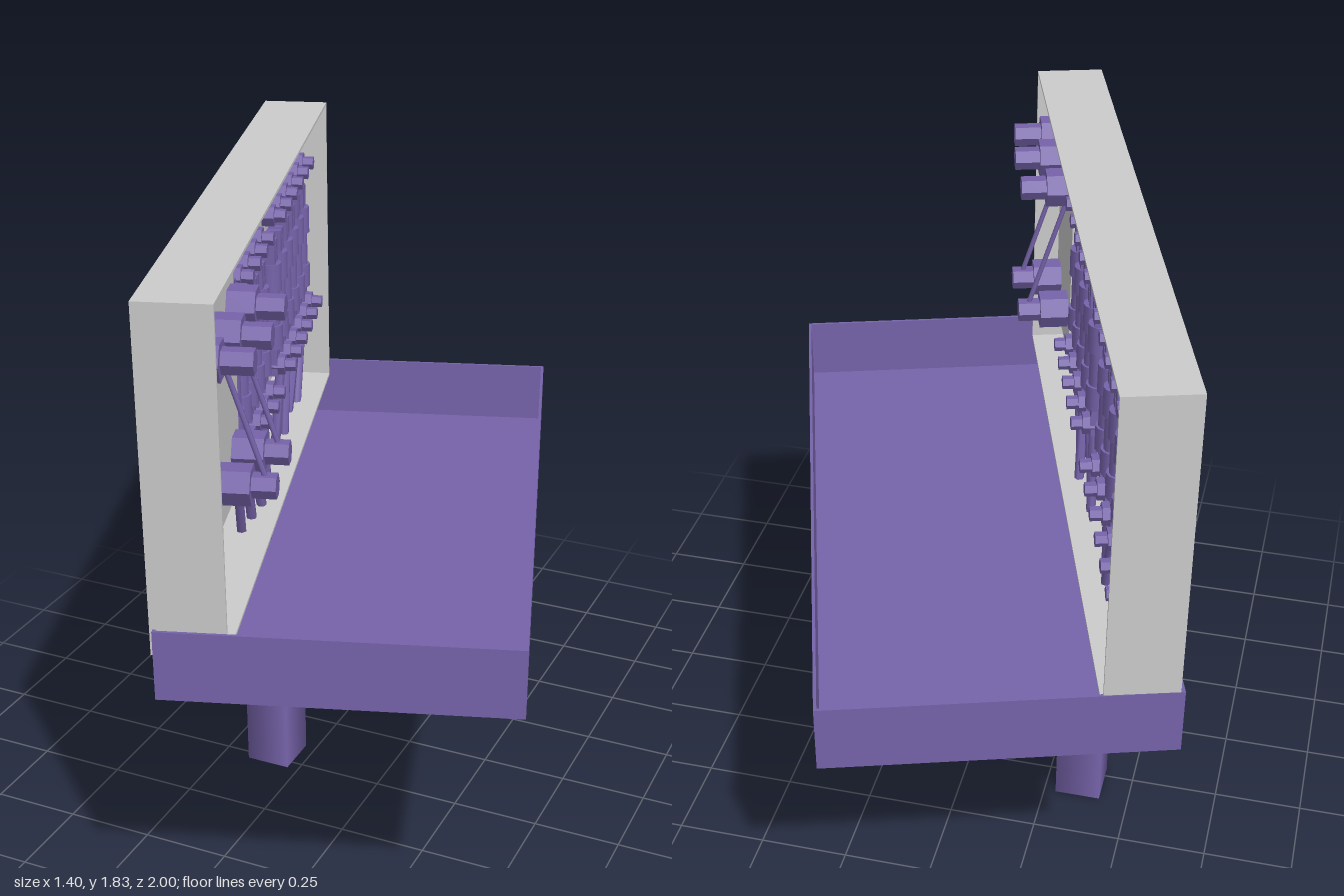
import * as THREE from 'three';

const grey = new THREE.MeshStandardMaterial({ color: 0xcccccc, side: THREE.DoubleSide });
const purple = new THREE.MeshStandardMaterial({ color: 0x7663aa, side: THREE.DoubleSide });
const purpleFlat = new THREE.MeshStandardMaterial({ color: 0x7663aa, flatShading: true });

function add(parent, name, geometry, material, x = 0, y = 0, z = 0) {
  const mesh = new THREE.Mesh(geometry, material);
  mesh.name = name;
  mesh.position.set(x, y, z);
  parent.add(mesh);
  return mesh;
}

// Box given by its limits on each axis
function block(parent, name, material, [x0, x1], [y0, y1], [z0, z1]) {
  return add(parent, name, new THREE.BoxGeometry(x1 - x0, y1 - y0, z1 - z0), material,
    (x0 + x1) / 2, (y0 + y1) / 2, (z0 + z1) / 2);
}

// Hexagonal nut with a smaller hexagonal stud, pointing along +x
function bolt(parent, name, r, x0, x1, x2, y, z) {
  const group = new THREE.Group();
  group.name = name;
  for (const [part, radius, a, b] of [['nut', r, x0, x1], ['stud', r * 0.62, x1, x2]]) {
    const g = new THREE.CylinderGeometry(radius, radius, b - a, 6).rotateZ(-Math.PI / 2);
    add(group, part, g, purpleFlat, (a + b) / 2, y, z);
  }
  parent.add(group);
}

// Straight rod between two points
function rod(parent, name, a, b, r) {
  const dir = b.clone().sub(a);
  const mesh = add(parent, name, new THREE.CylinderGeometry(r, r, dir.length(), 6), purple);
  mesh.position.copy(a).add(b).multiplyScalar(0.5);
  mesh.quaternion.setFromUnitVectors(new THREE.Vector3(0, 1, 0), dir.normalize());
}

function fuse(z) {
  const group = new THREE.Group();
  group.name = 'fuse';
  group.position.set(0.015, 0, z);
  const cyl = (name, r, y0, y1) =>
    add(group, name, new THREE.CylinderGeometry(r, r, y1 - y0, 12), purple, 0, (y0 + y1) / 2, 0);
  cyl('body', 0.027, 1.34, 1.46);
  cyl('lowerCap', 0.034, 1.28, 1.35);
  cyl('upperCap', 0.034, 1.45, 1.53);
  for (const s of [-1, 1]) {
    const zs = [s * 0.016 - 0.011, s * 0.016 + 0.011];
    block(group, 'upperProng', purple, [-0.02, 0.02], [1.53, 1.595], zs);
    block(group, 'lowerProng', purple, [-0.02, 0.02], [1.2, 1.28], zs);
  }
  return group;
}

export function createModel() {
  const model = new THREE.Group();
  const wall = 0.008;

  // Open lid lying flat like a tray, hinge side left open between two short tabs
  const tray = new THREE.Group();
  tray.name = 'openLid';
  tray.position.y = 0.823;
  tray.rotation.set(-0.0085, THREE.MathUtils.degToRad(18.1), 0, 'YXZ');
  model.add(tray);
  const X = 0.44, Z = 0.905, H = 0.184;
  block(tray, 'lidFloor', purple, [-X, X], [0, wall], [-Z, Z]);
  block(tray, 'lidFrontWall', purple, [X - wall, X], [0, H], [-Z, Z]);
  for (const s of [-1, 1]) {
    const span = (a, b) => [Math.min(s * a, s * b), Math.max(s * a, s * b)];
    block(tray, 'lidEndWall', purple, [-X, X], [0, H], span(Z - wall, Z));
    block(tray, 'hingeTab', purple, [-X, -X + wall], [0, H], span(Z - 0.1, Z));
  }

  // Open-fronted cabinet
  const cabinet = new THREE.Group();
  cabinet.name = 'cabinet';
  cabinet.position.set(-0.331, 0, 0.101);
  cabinet.rotation.y = THREE.MathUtils.degToRad(17.5);
  model.add(cabinet);
  const D = 0.0925, L = 0.898, Y0 = 0.945, Y1 = 1.825;
  block(cabinet, 'backPanel', grey, [-D, -D + wall], [Y0, Y1], [-L, L]);
  block(cabinet, 'topPanel', grey, [-D, D], [Y1 - wall, Y1], [-L, L]);
  block(cabinet, 'bottomPanel', grey, [-D, D], [Y0, Y0 + wall], [-L, L]);
  block(cabinet, 'sidePanel', grey, [-D, D], [Y0, Y1], [L - wall, L]);
  block(cabinet, 'sidePanel', grey, [-D, D], [Y0, Y1], [-L, -L + wall]);

  // Main switch housing and bus rail
  block(cabinet, 'switchHousing', grey, [-D + wall, 0.04], [1.16, 1.74], [0.394, 0.714]);
  block(cabinet, 'busRail', grey, [-0.03, 0], [1.62, 1.71], [-0.845, 0.858]);

  // Main terminals with linking rods
  bolt(cabinet, 'mainTerminal', 0.052, 0, 0.09, 0.165, 1.665, 0.817);
  for (const z of [0.655, 0.46]) {
    bolt(cabinet, 'mainTerminal', 0.052, 0.03, 0.11, 0.178, 1.665, z);
    bolt(cabinet, 'lowerTerminal', 0.052, 0.04, 0.12, 0.18, 1.285, z);
    rod(cabinet, 'linkRod', new THREE.Vector3(0.045, 1.64, z), new THREE.Vector3(0.15, 1.31, z), 0.007);
  }

  // Rows of fuses, each with a rail nut, a lower nut and usually a cable
  const rows = [];
  for (let i = 0; i < 5; i++) rows.push(0.355 - i * 0.104);
  for (let i = 0; i < 6; i++) rows.push(-0.265 - i * 0.107);
  const uncabled = [5, 8];
  const cx = 0.023, cz = -0.135;
  rows.forEach((z, i) => {
    bolt(cabinet, 'railNut', 0.031, 0, 0.035, 0.065, 1.665, z);
    bolt(cabinet, 'fuseNut', 0.03, 0.015, 0.055, 0.085, 1.228, z);
    cabinet.add(fuse(z));
    if (uncabled.includes(i)) return;
    const at = (y, f) => new THREE.Vector3(cx, y, cz + (z - cz) * f);
    const x = (i % 3 - 1) * 0.02;
    const a = at(1.2, 1), b = at(0.83, 0.67), c = at(0.45, 0.09);
    b.x += x;
    c.x += x;
    rod(cabinet, 'cable', a, b, 0.014);
    rod(cabinet, 'cable', b, c, 0.014);
  });

  // Square conduit collecting the cables
  add(model, 'conduit', new THREE.CylinderGeometry(0.093, 0.093, 0.46, 4).rotateY(Math.PI / 4),
    purple, -0.35, 0.23, -0.035);

  return model;
}
